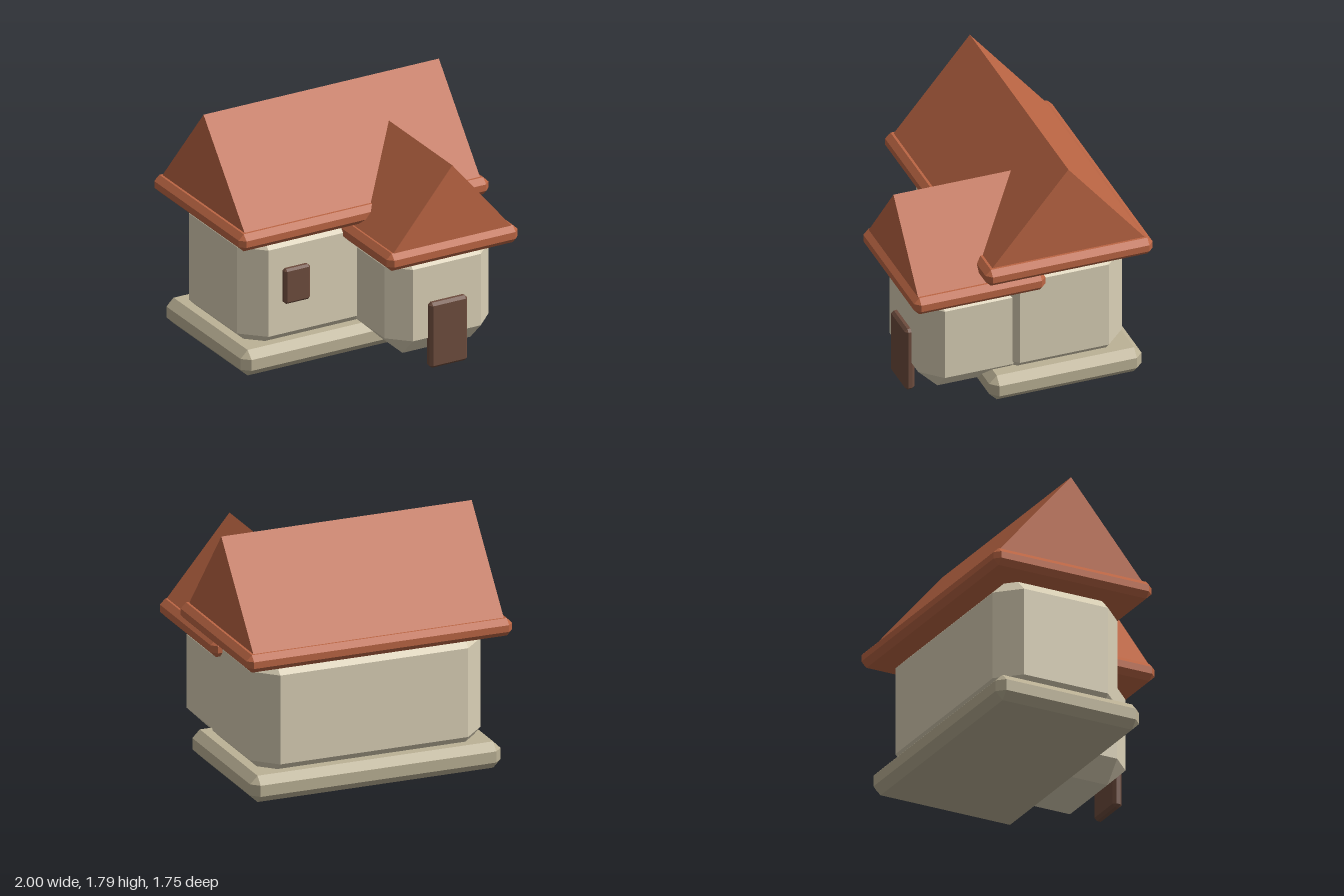
import * as THREE from 'three';
import { ConvexGeometry } from 'three/addons/geometries/ConvexGeometry.js';

const material = (name, color) => {
  const m = new THREE.MeshStandardMaterial({ color });
  m.name = name;
  return m;
};

// Box between two corners with every edge cut at 45 degrees.
function chamferBox(name, mat, [x0, x1], [y0, y1], [z0, z1], bevel) {
  const half = [(x1 - x0) / 2, (y1 - y0) / 2, (z1 - z0) / 2];
  const points = [];
  for (const sx of [-1, 1]) for (const sy of [-1, 1]) for (const sz of [-1, 1]) {
    const sign = [sx, sy, sz];
    for (let axis = 0; axis < 3; axis++) {
      const p = half.map((h, i) => sign[i] * (i === axis ? h : h - bevel));
      points.push(new THREE.Vector3(...p));
    }
  }
  const mesh = new THREE.Mesh(new ConvexGeometry(points), mat);
  mesh.name = name;
  mesh.position.set((x0 + x1) / 2, (y0 + y1) / 2, (z0 + z1) / 2);
  return mesh;
}

// Triangular prism with its ridge along z, starting at the origin.
function gable(name, mat, width, height, length) {
  const shape = new THREE.Shape();
  shape.moveTo(-width / 2, 0);
  shape.lineTo(width / 2, 0);
  shape.lineTo(0, height);
  shape.closePath();
  const geometry = new THREE.ExtrudeGeometry(shape, { depth: length, bevelEnabled: false });
  const mesh = new THREE.Mesh(geometry, mat);
  mesh.name = name;
  return mesh;
}

export function createModel() {
  const plaster = material('plaster', 0xdad0b6);
  const stone = material('stone', 0xbcb296);
  const tile = material('roof tile', 0xbc6644);
  const wood = material('dark wood', 0x6d4c3d);

  const house = new THREE.Group();
  house.name = 'house';

  // Main block
  house.add(
    chamferBox('foundation', stone, [-0.943, 0.943], [0, 0.194], [-0.82, 0.312], 0.056),
    chamferBox('mainWalls', plaster, [-0.868, 0.868], [0.085, 1.06], [-0.745, 0.237], 0.16),
    chamferBox('mainEaves', tile, [-1, 1], [0.988, 1.117], [-0.875, 0.368], 0.04),
  );
  const mainRoof = gable('mainRoof', tile, 1.134, 0.68, 1.886);
  mainRoof.rotation.y = Math.PI / 2;
  mainRoof.position.set(-0.943, 1.115, -0.255);
  house.add(mainRoof);

  // Front wing
  house.add(
    chamferBox('wingWalls', plaster, [0, 0.83], [0.08, 0.908], [-0.03, 0.763], 0.143),
    chamferBox('wingEaves', tile, [-0.11, 0.94], [0.835, 0.967], [-0.1, 0.876], 0.04),
  );
  const wingRoof = gable('wingRoof', tile, 0.945, 0.565, 0.9);
  wingRoof.position.set(0.414, 0.965, -0.06);
  house.add(wingRoof);

  // Openings
  house.add(
    chamferBox('door', wood, [0.262, 0.564], [0, 0.494], [0.735, 0.806], 0.02),
    chamferBox('window', wood, [-0.596, -0.39], [0.475, 0.74], [0.205, 0.275], 0.016),
  );
  return house;
}
